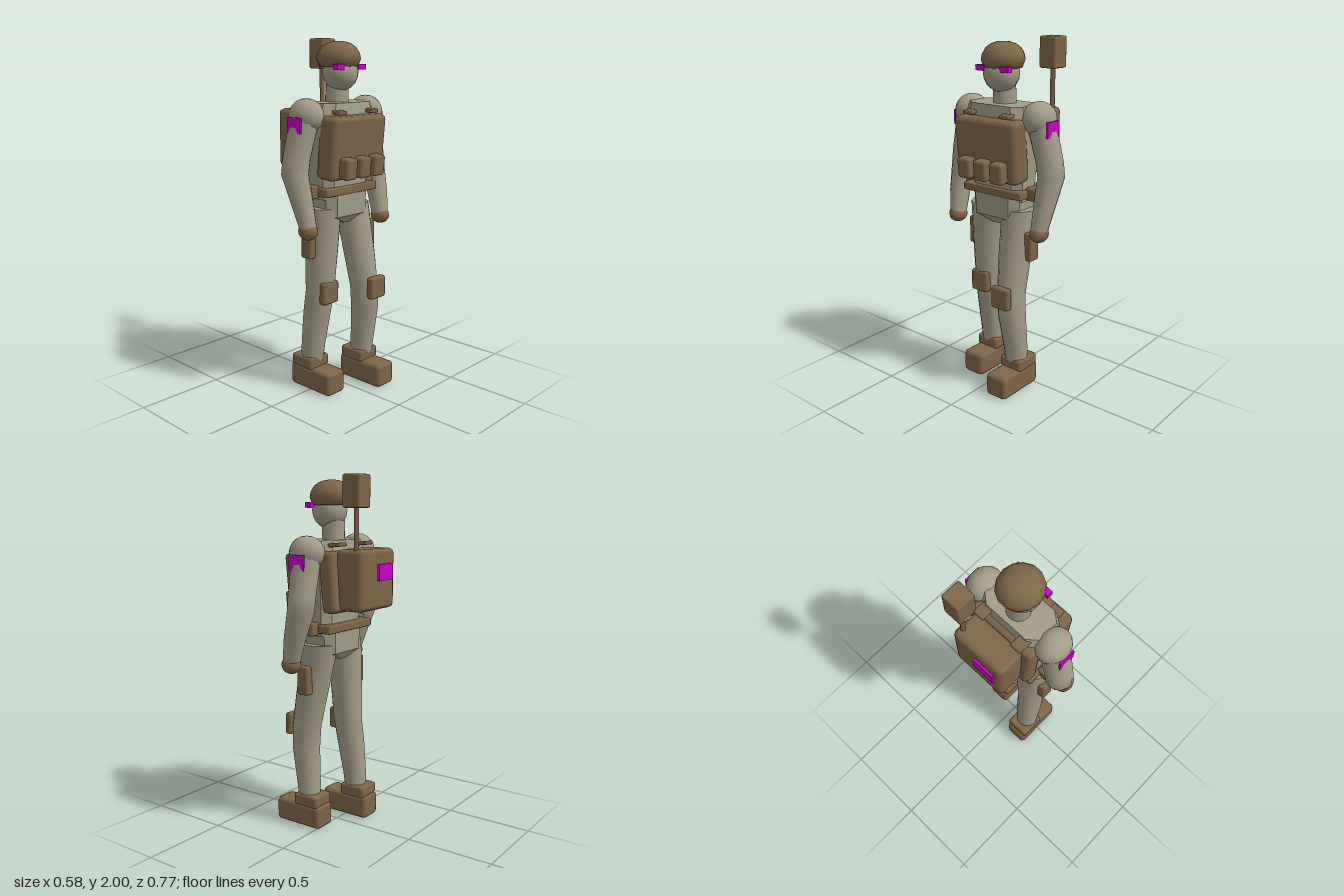
import * as THREE from 'three';
import { RoundedBoxGeometry } from 'three/addons/geometries/RoundedBoxGeometry.js';

const mat = (name, color) => Object.assign(new THREE.MeshStandardMaterial({ color }), { name });

// Cross-section outlines on a unit radius: round for limbs, chamfered for the body
const ROUND = Array.from({ length: 14 }, (_, i) => {
  const a = (i / 14) * Math.PI * 2;
  return [Math.cos(a), Math.sin(a)];
});
const CHAMFERED = [[1, -0.72], [1, 0.72], [0.6, 1], [-0.6, 1], [-1, 0.72], [-1, -0.72], [-0.6, -1], [0.6, -1]];

// Skin horizontal sections [x, y, z, radiusX, radiusZ], listed bottom to top, with end caps
function loft(outline, sections, flat = false) {
  const n = outline.length, pos = [], idx = [];
  const ring = ([x, y, z, rx, rz]) => outline.forEach(([u, v]) => pos.push(x + u * rx, y, z + v * rz));
  sections.forEach(ring);
  for (let i = 0; i < sections.length - 1; i++) {
    for (let j = 0; j < n; j++) {
      const a = i * n + j, b = i * n + (j + 1) % n;
      idx.push(a, a + n, b, b, a + n, b + n);
    }
  }
  for (const [s, top] of [[sections[0], false], [sections[sections.length - 1], true]]) {
    const base = pos.length / 3;
    ring(s);
    pos.push(s[0], s[1], s[2]);
    for (let j = 0; j < n; j++) {
      const a = base + j, b = base + (j + 1) % n;
      idx.push(base + n, top ? b : a, top ? a : b);
    }
  }
  let g = new THREE.BufferGeometry();
  g.setAttribute('position', new THREE.Float32BufferAttribute(pos, 3));
  g.setIndex(idx);
  if (flat) g = g.toNonIndexed();
  g.computeVertexNormals();
  return g;
}

export function createModel() {
  const model = new THREE.Group();
  model.name = 'fieldSoldier';
  const cloth = mat('greyCloth', 0xa39c88);
  const gear = mat('brownGear', 0x7f6648);
  const marker = mat('magentaMarker', 0xcc00cc);

  const add = (name, geo, material) => {
    const m = new THREE.Mesh(geo, material);
    m.name = name;
    model.add(m);
    return m;
  };
  // Boxes are given as [min, max] ranges along each axis
  const place = (m, ...r) => m.position.set(...r.map(([a, b]) => (a + b) / 2));
  const size = (r) => r.map(([a, b]) => Math.abs(b - a));
  const box = (name, material, ...r) => {
    const m = add(name, new THREE.BoxGeometry(...size(r)), material);
    place(m, ...r);
    return m;
  };
  const rbox = (name, radius, ...r) => {
    const m = add(name, new RoundedBoxGeometry(...size(r), 1, radius), gear);
    place(m, ...r);
    return m;
  };
  const ball = (name, material, p, r) => {
    const m = add(name, new THREE.SphereGeometry(1, 14, 10), material);
    m.position.set(...p);
    m.scale.set(...r);
  };

  // Head, helmet and neck
  ball('head', cloth, [0.05, 1.815, 0], [0.1, 0.103, 0.1]);
  add('neck', new THREE.CylinderGeometry(0.063, 0.066, 0.14, 14), cloth).position.set(0.023, 1.69, 0);
  const dome = [[0, -0.03], [0.108, -0.03], [0.125, 0.012], [0.119, 0.042], [0.1, 0.073], [0.073, 0.093], [0.038, 0.105], [0, 0.108]];
  const helmet = add('helmet', new THREE.LatheGeometry(dome.map((p) => new THREE.Vector2(...p)), 14), gear);
  helmet.position.set(0.035, 1.873, 0);
  helmet.scale.z = 0.96;

  // Torso and pelvis
  add('torso', loft(CHAMFERED, [
    [0.033, 1.13, 0, 0.092, 0.175],
    [0.033, 1.25, 0, 0.095, 0.18],
    [0.037, 1.5, 0, 0.118, 0.205],
    [0.037, 1.6, 0, 0.116, 0.205],
    [0.037, 1.655, 0, 0.105, 0.185],
  ], true), cloth);
  add('pelvis', loft(CHAMFERED, [
    [0.03, 0.985, 0, 0.07, 0.035],
    [0.032, 1.03, 0, 0.105, 0.16],
    [0.032, 1.17, 0, 0.108, 0.165],
  ], true), cloth);

  // Vest plates, leaning slightly forward
  rbox('chestVest', 0.028, [0.075, 0.2], [1.245, 1.59], [-0.21, 0.21]).rotation.z = -0.09;
  rbox('backVest', 0.028, [-0.13, -0.035], [1.265, 1.6], [-0.213, 0.213]).rotation.z = -0.09;
  for (const z of [-0.113, 0, 0.113]) {
    rbox('chestPouch', 0.015, [0.175, 0.248], [1.252, 1.368], [z - 0.043, z + 0.043]).rotation.z = -0.09;
  }

  // Belt
  rbox('belt', 0.01, [-0.1, 0.145], [1.152, 1.2], [-0.205, 0.205]);

  // Radio pack with antenna
  rbox('backpack', 0.028, [-0.28, -0.11], [1.28, 1.612], [-0.167, 0.167]);
  box('backMarker', marker, [-0.293, -0.278], [1.44, 1.53], [-0.013, 0.122]);
  add('antennaMast', new THREE.CylinderGeometry(0.014, 0.014, 0.26, 8), gear).position.set(-0.227, 1.72, -0.138);
  rbox('antennaHead', 0.01, [-0.28, -0.17], [1.828, 2.0], [-0.193, -0.083]);

  // Mirrored parts; the right leg steps forward
  for (const s of [1, -1]) {
    const side = s > 0 ? 'left' : 'right';
    const step = s > 0 ? 0 : 0.128;

    box(side + 'HelmetLamp', marker, [0.1, 0.134], [1.828, 1.858], [s * 0.055, s * 0.113]);
    rbox(side + 'ShoulderStrap', 0.006, [-0.137, 0.19], [1.61, 1.631], [s * 0.093, s * 0.16]).rotation.z = -0.1;

    // Arm
    ball(side + 'Shoulder', cloth, [0.025, 1.59, s * 0.238], [0.104, 0.093, 0.09]);
    add(side + 'Arm', loft(ROUND, [
      [0.093, 0.99, s * 0.297, 0.05, 0.046],
      [0.062, 1.12, s * 0.307, 0.062, 0.059],
      [0.012, 1.28, s * 0.313, 0.077, 0.073],
      [0.012, 1.36, s * 0.302, 0.078, 0.074],
      [0.022, 1.57, s * 0.25, 0.085, 0.076],
    ]), cloth);
    ball(side + 'Hand', gear, [0.093, 0.98, s * 0.298], [0.059, 0.05, 0.05]);
    box(side + 'ArmMarker', marker, [-0.025, 0.075], [1.502, 1.586], [s * 0.322, s * 0.333]);

    // Leg
    add(side + 'Leg', loft(ROUND, [
      [-0.037 + step, 0.15, s * 0.143, 0.062, 0.063],
      [-0.03 + step, 0.25, s * 0.142, 0.07, 0.068],
      [-0.005 + step, 0.46, s * 0.134, 0.083, 0.077],
      [0.013 + step * 0.85, 0.59, s * 0.128, 0.088, 0.077],
      [0.02 + step * 0.5, 0.8, s * 0.122, 0.094, 0.09],
      [0.03, 1.08, s * 0.113, 0.1, 0.102],
    ]), cloth);
    rbox(side + 'KneePad', 0.015, [0.062 + step, 0.11 + step], [0.53, 0.66], [s * 0.07, s * 0.19]);
    const drop = step * 0.35;
    rbox(side + 'ThighPouch', 0.012, [-0.02 + drop, 0.055 + drop], [0.8, 0.965], [s * 0.19, s * 0.247]);
    rbox(side + 'BeltPouch', 0.012, [-0.02, 0.075], [1.14, 1.215], [s * 0.185, s * 0.253]);

    // Boot
    rbox(side + 'Boot', 0.022, [-0.15 + step, 0.16 + step], [0, 0.136], [s * 0.073, s * 0.213]);
    rbox(side + 'BootCuff', 0.015, [-0.135 + step, 0.027 + step], [0.125, 0.195], [s * 0.07, s * 0.217]);
  }
  return model;
}
